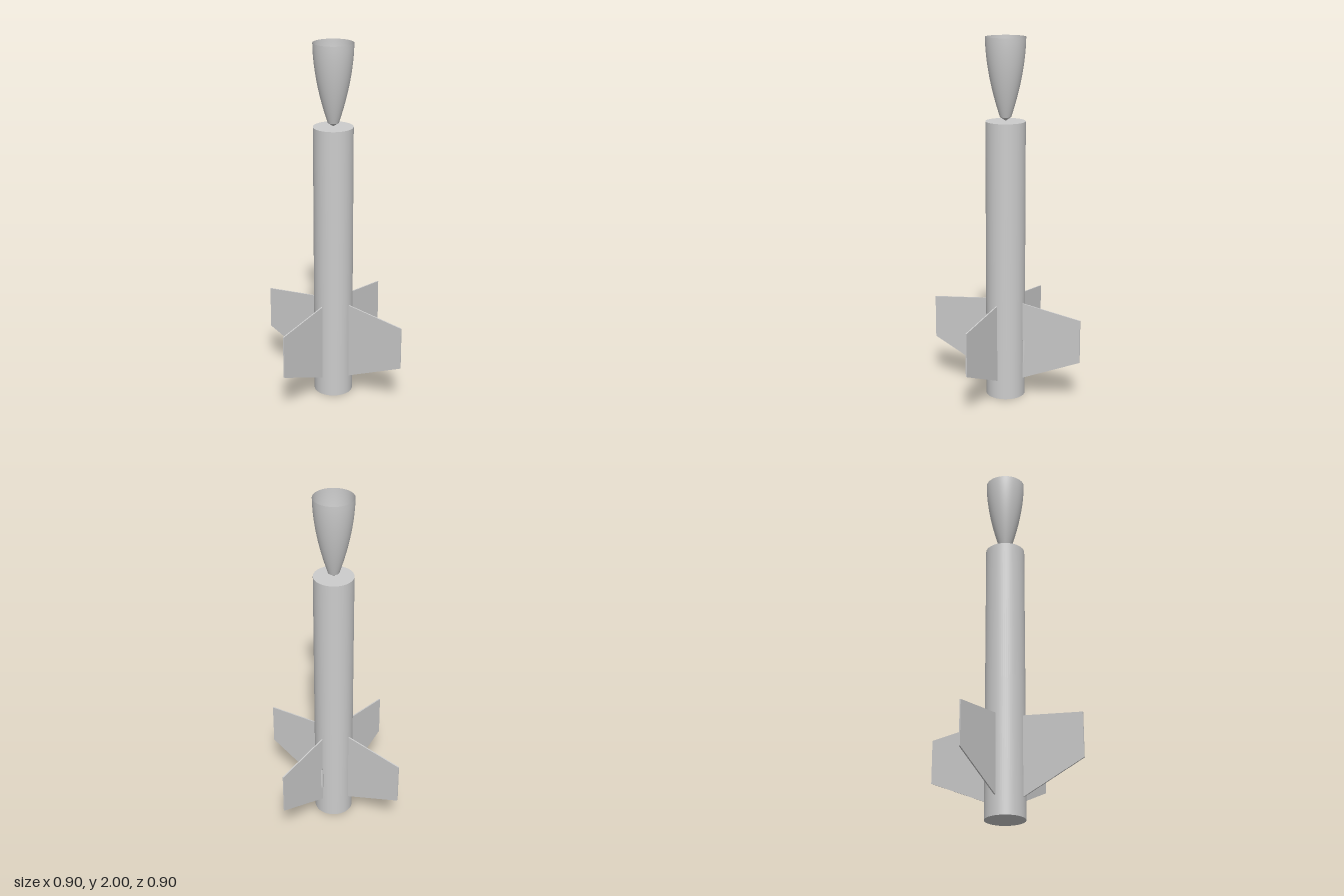
import * as THREE from 'three';

const R = 0.108;      // body radius
const BODY_H = 1.555; // body height

export function createModel() {
  const model = new THREE.Group();
  const grey = new THREE.MeshStandardMaterial({ color: 0xcccccc });
  grey.name = 'light grey';
  const greyShell = new THREE.MeshStandardMaterial({ color: 0xcccccc, side: THREE.DoubleSide });
  greyShell.name = 'light grey shell';

  const add = (name, geometry, material = grey) => {
    const mesh = new THREE.Mesh(geometry, material);
    mesh.name = name;
    model.add(mesh);
    return mesh;
  };

  // Body: plain closed cylinder
  add('bodyTube', new THREE.CylinderGeometry(R, R, BODY_H, 64)).position.y = BODY_H / 2;

  // Nose: hollow upturned shell, open at the top, with a blunt conical tip
  const tipR = 0.03, tipY = 1.577, rimY = 2;
  const wall = [];
  for (let i = 0; i <= 20; i++) {
    const u = i / 20;
    const r = tipR + (R - tipR) * (1 - Math.pow(1 - u, 1.8));
    wall.push(new THREE.Vector2(r, tipY + (rimY - tipY) * u));
  }
  add('noseShell', new THREE.LatheGeometry(wall, 64), greyShell);
  const tip = [new THREE.Vector2(0, 1.557), new THREE.Vector2(tipR, tipY)];
  add('noseTip', new THREE.LatheGeometry(tip, 64), greyShell);

  // Four swept fins
  const thickness = 0.007;
  const outline = new THREE.Shape([
    [0.1, 0.103], [0.452, 0.26], [0.452, 0.502], [0.1, 0.547],
  ].map(([x, y]) => new THREE.Vector2(x, y)));
  const finGeometry = new THREE.ExtrudeGeometry(outline, { depth: thickness, bevelEnabled: false });
  finGeometry.translate(0, 0, -thickness / 2);
  for (let i = 0; i < 4; i++) add('fin' + (i + 1), finGeometry).rotation.y = i * Math.PI / 2;

  // Launch lug: small hollow tube at the root of the left fin
  const outer = 0.0095, inner = 0.007, half = 0.066;
  const lugProfile = [[inner, -half], [outer, -half], [outer, half], [inner, half], [inner, -half]]
    .map(([x, y]) => new THREE.Vector2(x, y));
  add('launchLug', new THREE.LatheGeometry(lugProfile, 24), greyShell).position.set(0.114, 0.267, 0);

  return model;
}
